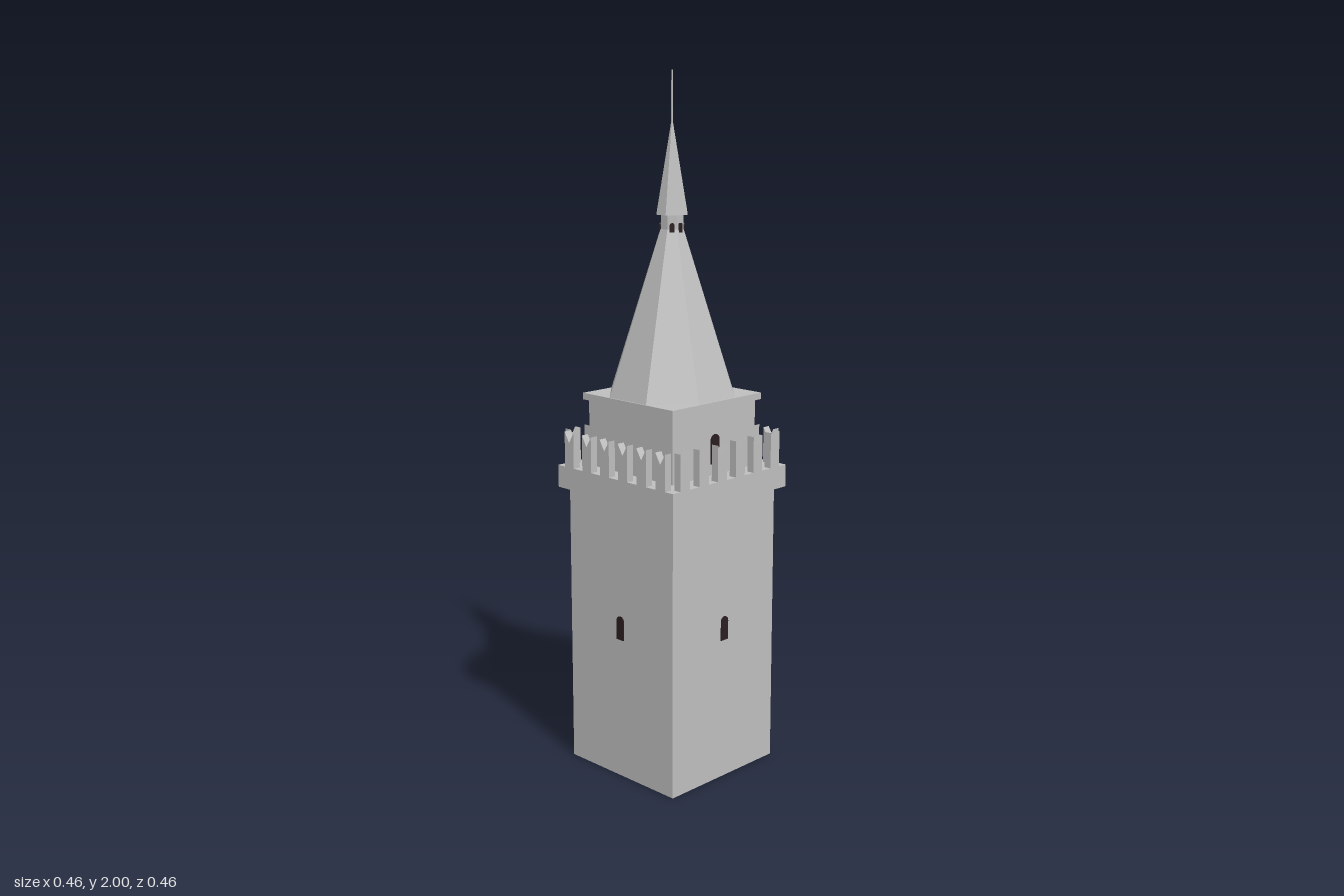
import * as THREE from 'three';

const stone = new THREE.MeshStandardMaterial({ color: 0xbebebe, flatShading: true, side: THREE.DoubleSide });
stone.name = 'grey stone';
const dark = new THREE.MeshStandardMaterial({ color: 0x2b1d20 });
dark.name = 'dark opening';

export function createModel() {
  const tower = new THREE.Group();
  tower.name = 'bellTower';

  function add(name, geometry, material = stone, parent = tower) {
    const mesh = new THREE.Mesh(geometry, material);
    mesh.name = name;
    parent.add(mesh);
    return mesh;
  }

  // Square block between two heights
  function block(name, half, y0, y1) {
    add(name, new THREE.BoxGeometry(half * 2, y1 - y0, half * 2)).position.y = (y0 + y1) / 2;
  }

  // Regular prism or frustum with flat sides facing the axes, sized by apothem
  function prism(name, sides, bottom, top, y0, y1, open = false) {
    const k = 1 / Math.cos(Math.PI / sides);
    const g = new THREE.CylinderGeometry(top * k, bottom * k, y1 - y0, sides, 1, open);
    g.rotateY(Math.PI / sides);
    add(name, g).position.y = (y0 + y1) / 2;
  }

  // Thin round-headed window plate on a wall at the given distance and heading
  function archWindow(name, width, y0, y1, distance, angle) {
    const r = width / 2;
    const s = new THREE.Shape();
    s.moveTo(-r, y0);
    s.lineTo(r, y0);
    s.lineTo(r, y1 - r);
    s.absarc(0, y1 - r, r, 0, Math.PI, false);
    s.closePath();
    const g = new THREE.ExtrudeGeometry(s, { depth: 0.006, bevelEnabled: false, curveSegments: 6 });
    g.translate(0, 0, distance - 0.003);
    g.rotateY(angle);
    add(name, g, dark);
  }

  // Hollow shaft, open underneath, with parapet and bell chamber
  prism('shaft', 4, 0.208, 0.208, 0, 0.84, true);
  block('parapet', 0.231, 0.83, 0.895);
  block('bellChamber', 0.167, 0.895, 1.087);
  block('cornice', 0.179, 1.087, 1.106);

  // Swallowtail merlons, six to a side
  const tail = new THREE.Shape([
    [-0.0185, 0.89], [0.0185, 0.89], [0.0185, 0.998], [0, 0.967], [-0.0185, 0.998],
  ].map(([x, y]) => new THREE.Vector2(x, y)));
  const merlonGeometry = new THREE.ExtrudeGeometry(tail, { depth: 0.023, bevelEnabled: false });
  for (let side = 0; side < 4; side++) {
    const row = new THREE.Group();
    row.name = 'merlonRow';
    row.rotation.y = side * Math.PI / 2;
    for (let i = 0; i < 6; i++) {
      add('merlon', merlonGeometry, stone, row).position.set((i - 2.5) * 0.0733, 0, 0.208);
    }
    tower.add(row);
    archWindow('shaftWindow', 0.028, 0.418, 0.488, 0.208, side * Math.PI / 2);
  }

  // Bell chamber openings on the right-hand and rear walls
  for (const angle of [Math.PI / 2, Math.PI]) {
    archWindow('chamberWindow', 0.034, 0.928, 1.012, 0.167, angle);
  }

  // Octagonal spire, lantern, cap and finial
  prism('spire', 8, 0.175, 0.032, 1.106, 1.57);
  prism('lantern', 8, 0.031, 0.031, 1.56, 1.612);
  for (let i = 1; i < 8; i++) {
    archWindow('lanternWindow', 0.014, 1.56, 1.588, 0.0315, i * Math.PI / 4);
  }
  prism('cap', 8, 0.0435, 0.001, 1.61, 1.87);
  const pole = add('finial', new THREE.CylinderGeometry(0.002, 0.003, 0.15, 8));
  pole.position.y = 1.925;

  return tower;
}
